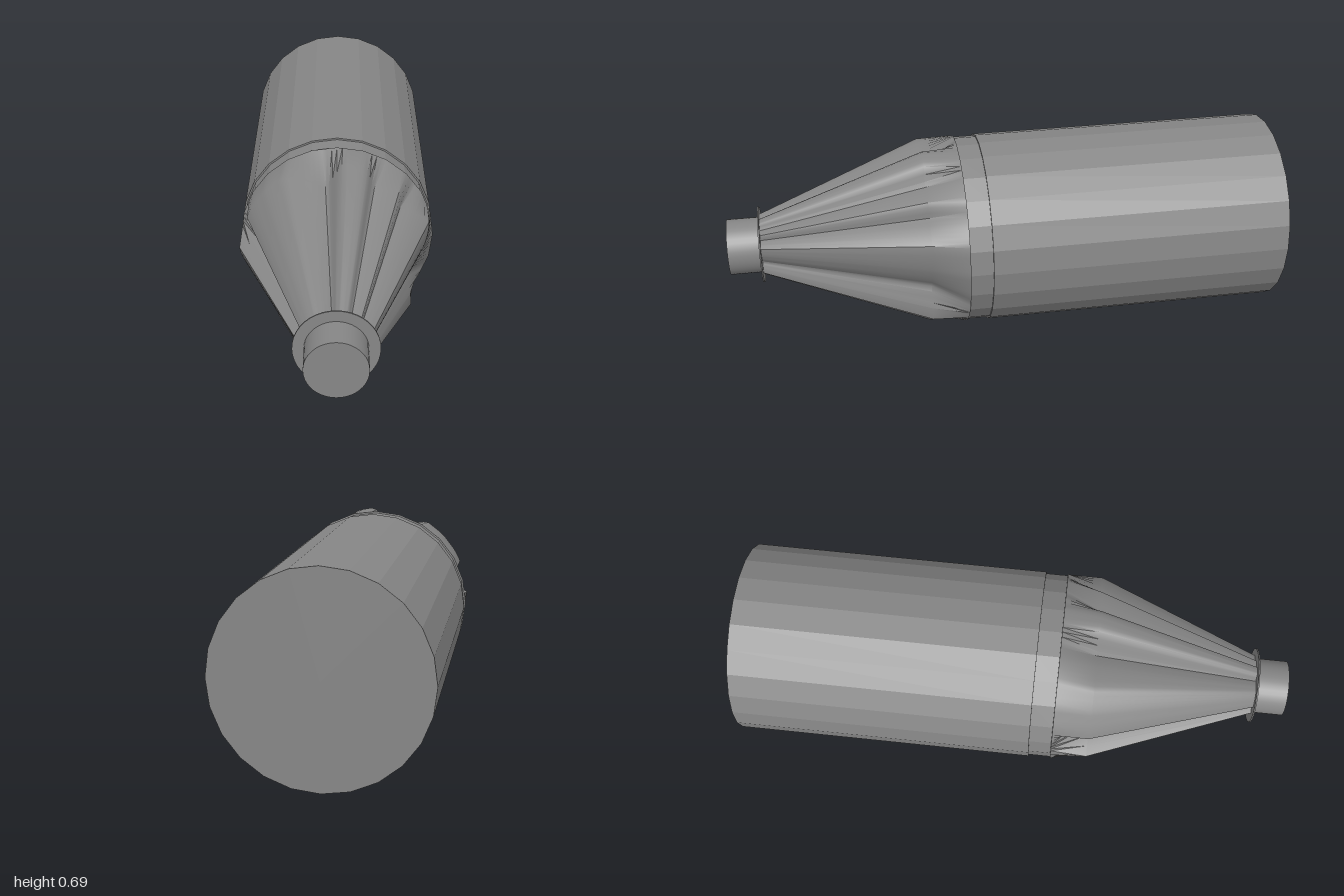
import * as THREE from 'three';
import { toCreasedNormals } from 'three/addons/utils/BufferGeometryUtils.js';

const SIDES = 24, COLUMNS = 120, R = 0.347, AXIS_Y = 0.347;
const GREY = 0x868686;

// Crimped folds around the nose: [degrees from +x, radius]
const FOLDS = [
  [-20, 0.25], [21, 0.345], [39, 0.28], [47, 0.32], [64, 0.28], [73, 0.343], [86, 0.345],
  [98, 0.25], [122, 0.345], [156, 0.345], [165, 0.2], [177, 0.347], [216, 0.27], [231, 0.34],
  [246, 0.29], [258, 0.335], [267, 0.347], [279, 0.2], [291, 0.34], [312, 0.27], [321, 0.345],
  [340, 0.25], [381, 0.345],
];

// Cylinder lying along z between two depths
function barrel(name, radius, z0, z1, sides, material) {
  const geo = new THREE.CylinderGeometry(radius, radius, z1 - z0, sides);
  geo.rotateX(Math.PI / 2);
  const mesh = new THREE.Mesh(geo, material);
  mesh.name = name;
  mesh.position.set(0, AXIS_Y, (z0 + z1) / 2);
  return mesh;
}

// Radius of the many-sided rim at an angle
function rim(deg) {
  const half = 180 / SIDES, rad = Math.PI / 180;
  return R * Math.cos(half * rad) / Math.cos(((deg % (2 * half)) - half) * rad);
}

// Radius of the folds at an angle, straight between creases
function fold(deg) {
  const k = FOLDS.findIndex(([d]) => d > deg);
  const [d0, r0] = FOLDS[k - 1], [d1, r1] = FOLDS[k];
  return Math.min(rim(deg), THREE.MathUtils.mapLinear(deg, d0, d1, r0, r1));
}

// Skin lofted through rings, counter-clockwise from +x
function loft(sections) {
  const pos = [], index = [];
  sections.forEach(({ z, radius }, s) => {
    for (let i = 0; i < COLUMNS; i++) {
      const deg = (i / COLUMNS) * 360, a = THREE.MathUtils.degToRad(deg), r = radius(deg);
      pos.push(Math.cos(a) * r, Math.sin(a) * r, z);
      if (s === 0) continue;
      const j = (i + 1) % COLUMNS, b = (s - 1) * COLUMNS, t = s * COLUMNS;
      index.push(b + i, b + j, t + j, b + i, t + j, t + i);
    }
  });
  const geo = new THREE.BufferGeometry();
  geo.setAttribute('position', new THREE.Float32BufferAttribute(pos, 3));
  geo.setIndex(index);
  return toCreasedNormals(geo, 0.8);
}

export function createModel() {
  const group = new THREE.Group();
  const flat = new THREE.MeshStandardMaterial({ color: GREY, flatShading: true });
  const smooth = new THREE.MeshStandardMaterial({ color: GREY });
  const skin = new THREE.MeshStandardMaterial({ color: GREY, side: THREE.DoubleSide });

  // Body and the slightly narrower collar in front of it
  group.add(barrel('body', R, -1, 0.08, SIDES, flat));
  group.add(barrel('collar', 0.341, 0.08, 0.16, SIDES, flat));

  // Crimped nose: back lip, rim, fold shoulder, then taper to the neck
  const nose = new THREE.Mesh(loft([
    { z: 0.159, radius: (deg) => rim(deg) * 0.97 },
    { z: 0.16, radius: rim },
    { z: 0.29, radius: fold },
    { z: 0.885, radius: (deg) => fold(deg) * 0.32 },
  ]), skin);
  nose.name = 'pleatedNose';
  nose.position.y = AXIS_Y;
  group.add(nose);

  // Thin flange and tip
  group.add(barrel('flange', 0.138, 0.882, 0.887, 40, smooth));
  group.add(barrel('tip', 0.101, 0.885, 1, 40, smooth));
  return group;
}
